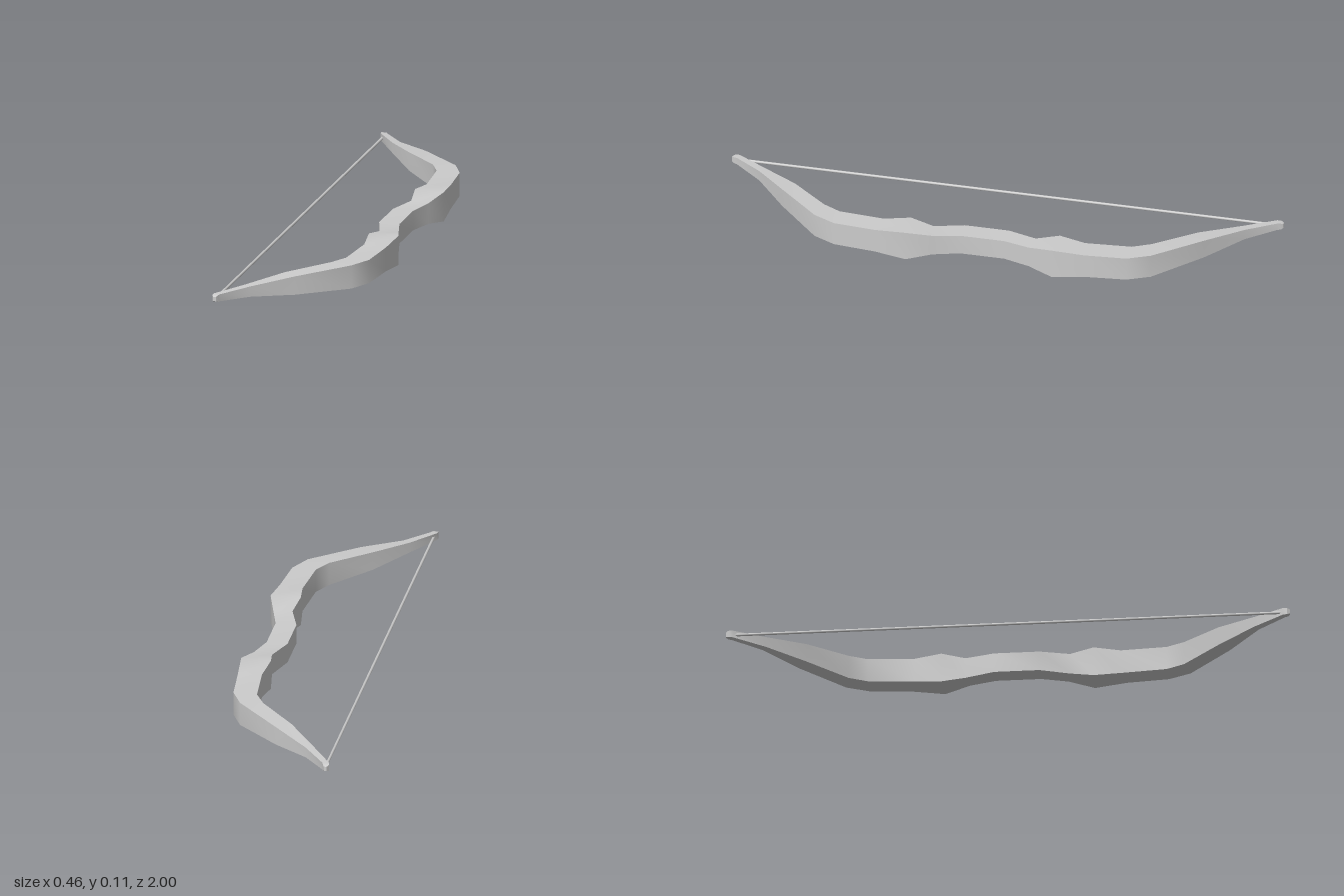
import * as THREE from 'three';
import { toCreasedNormals } from 'three/addons/utils/BufferGeometryUtils.js';

const MID_Y = 0.054;

// Half of the bow from grip to tip: string-side x, z, outer x, z, half height
const HALF = [
  [0.10, 0.08, 0.175, 0.08, 0.036],
  [0.135, 0.185, 0.202, 0.175, 0.038],
  [0.122, 0.27, 0.23, 0.265, 0.054],
  [0.135, 0.365, 0.219, 0.38, 0.044],
  [0.12, 0.53, 0.205, 0.53, 0.043],
  [0.085, 0.595, 0.165, 0.61, 0.043],
  [-0.045, 0.73, 0.005, 0.765, 0.034],
  [-0.15, 0.865, -0.125, 0.88, 0.019],
  [-0.228, 0.975, -0.205, 0.98, 0.013],
  [-0.23, 0.99, -0.209, 0.992, 0.012],
  [-0.224, 1.0, -0.214, 1.0, 0.008],
];

// Loft rectangular sections along the whole bow, closing both tips
function bowBody() {
  const mirrored = HALF.map(([a, az, b, bz, h]) => [a, -az, b, -bz, h]).reverse();
  const sections = [...mirrored, ...HALF];
  const pos = [];
  const index = [];
  for (const [a, az, b, bz, h] of sections) {
    pos.push(a, MID_Y - h, az, b, MID_Y - h, bz, b, MID_Y + h, bz, a, MID_Y + h, az);
  }
  for (let i = 0; i < sections.length - 1; i++) {
    for (let j = 0; j < 4; j++) {
      const p = i * 4 + j;
      const q = i * 4 + ((j + 1) % 4);
      index.push(p, q, q + 4, p, q + 4, p + 4);
    }
  }
  const e = (sections.length - 1) * 4;
  index.push(0, 2, 1, 0, 3, 2, e, e + 1, e + 2, e, e + 2, e + 3);
  const geo = new THREE.BufferGeometry();
  geo.setAttribute('position', new THREE.Float32BufferAttribute(pos, 3));
  geo.setIndex(index);
  return toCreasedNormals(geo, 0.6);
}

export function createModel() {
  const group = new THREE.Group();
  group.name = 'bow';
  const material = new THREE.MeshStandardMaterial({ color: 0xcccccc });

  // Recurved limbs and grip in one piece
  const body = new THREE.Mesh(bowBody(), material);
  body.name = 'limbsAndGrip';
  group.add(body);

  // Straight string between the tips
  const string = new THREE.Mesh(new THREE.CylinderGeometry(0.005, 0.005, 1.95, 8), material);
  string.name = 'bowString';
  string.rotation.x = Math.PI / 2;
  string.position.set(-0.217, MID_Y, 0);
  group.add(string);

  return group;
}
